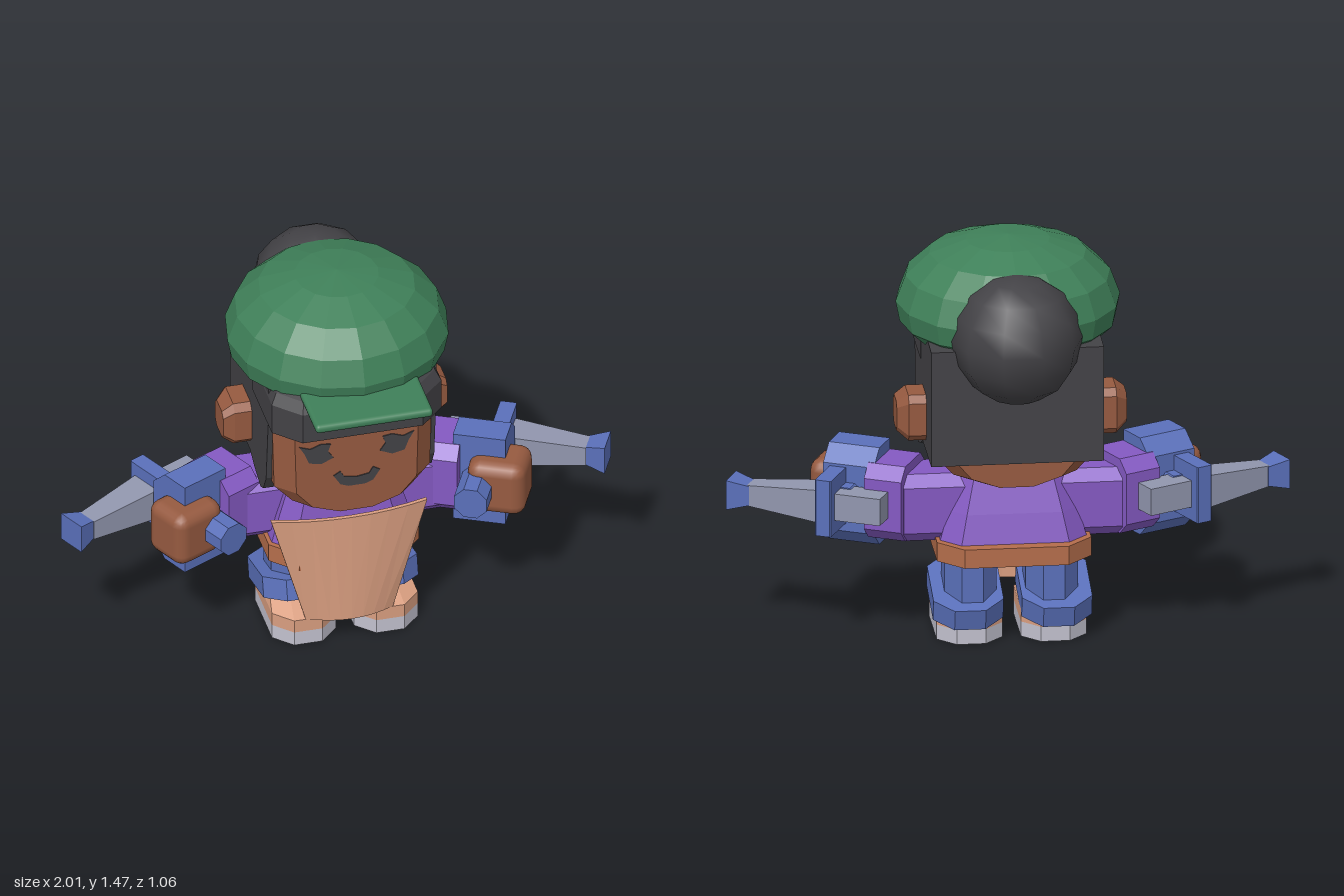
import * as THREE from 'three';
import { RoundedBoxGeometry } from 'three/addons/geometries/RoundedBoxGeometry.js';

const mat = (name, color) => Object.assign(new THREE.MeshStandardMaterial({ color }), { name });

// Facet a geometry so every face has its own normal
function flat(g) {
  const f = g.index ? g.toNonIndexed() : g;
  f.computeVertexNormals();
  return f;
}

// Stack of chamfered rectangles: each ring is [y, halfWidth, zFront, zBack, frontChamfer, backChamfer]
function loft(rings) {
  const pos = [], idx = [];
  for (const [y, w, f, b, c, k = c] of rings) {
    const ring = [[w, f - c], [w - c, f], [c - w, f], [-w, f - c], [-w, b + k], [k - w, b], [w - k, b], [w, b + k]];
    for (const [x, z] of ring) pos.push(x, y, z);
  }
  const last = (rings.length - 1) * 8;
  for (let r = 0; r < last; r += 8) {
    for (let i = 0; i < 8; i++) {
      const j = (i + 1) % 8;
      idx.push(r + i, r + 8 + i, r + 8 + j, r + i, r + 8 + j, r + j);
    }
  }
  for (let i = 1; i < 7; i++) idx.push(0, i, i + 1, last, last + i + 1, last + i);
  const g = new THREE.BufferGeometry();
  g.setAttribute('position', new THREE.Float32BufferAttribute(pos, 3));
  g.setIndex(idx);
  return flat(g);
}

const outline = pts => new THREE.Shape(pts.map(p => new THREE.Vector2(...p)));

// Side profile of [z, y] points, extruded across x and centred on it
function sideProfile(pts, width) {
  const g = new THREE.ExtrudeGeometry(outline(pts), { depth: width, bevelEnabled: false });
  return g.translate(0, 0, -width / 2).rotateY(-Math.PI / 2);
}

export function createModel() {
  const green = mat('cap green', 0x3f8059);
  const dark = mat('hair charcoal', 0x434246);
  const skin = mat('skin brown', 0x965a40);
  const leather = mat('belt leather', 0xb46d4b);
  const tan = mat('apron tan', 0xd99e80);
  const purple = mat('shirt purple', 0x8459c2);
  const blue = mat('blue', 0x5a70ba);
  const steel = mat('steel', 0x9196ae);
  const pale = mat('sole pale', 0xc2c1ce);

  const model = new THREE.Group();
  const add = (name, geo, material, x = 0, y = 0, z = 0, parent = model) => {
    const m = new THREE.Mesh(geo, material);
    m.name = name;
    m.position.set(x, y, z);
    parent.add(m);
    return m;
  };

  // Head and hair
  add('head', loft([
    [0.625, 0.11, 0.28, -0.3, 0.05],
    [0.66, 0.22, 0.28, -0.3, 0.06],
    [0.73, 0.285, 0.28, -0.3, 0.065],
    [1.12, 0.295, 0.28, -0.3, 0.065]]), skin);
  add('hair', sideProfile([
    [0.22, 1.02], [0.22, 1.17], [-0.32, 1.15], [-0.32, 0.72], [-0.04, 0.72],
    [0.02, 0.69], [0.11, 0.66], [0.15, 0.68], [0.19, 0.75]], 0.615), dark);
  add('fringe', loft([
    [1.01, 0.31, 0.37, 0, 0.09, 0.01],
    [1.13, 0.31, 0.37, 0, 0.09, 0.01],
    [1.17, 0.29, 0.345, 0, 0.08, 0.01],
    [1.2, 0.24, 0.28, 0, 0.06, 0.01]]), dark);
  add('hairBun', new THREE.SphereGeometry(0.235, 10, 8), dark, 0, 1.185, -0.3);

  // Cap
  const capProfile = [[0, 1.04], [0.2, 1.05], [0.32, 1.1], [0.385, 1.16], [0.4, 1.235],
    [0.365, 1.33], [0.28, 1.41], [0.15, 1.457], [0, 1.473]].map(p => new THREE.Vector2(...p));
  add('cap', flat(new THREE.LatheGeometry(capProfile, 16)), green);
  add('capBrim', new RoundedBoxGeometry(0.43, 0.034, 0.36, 2, 0.015), green, 0, 1.178, 0.36);

  // Face details
  const eye = [[0.21, 0.93], [0.17, 0.915], [0.13, 0.93], [0.095, 0.925], [0.105, 0.895],
    [0.085, 0.865], [0.13, 0.845], [0.175, 0.855], [0.19, 0.895]];
  const plate = pts => new THREE.ExtrudeGeometry(outline(pts), { depth: 0.006, bevelEnabled: false });
  for (const s of [1, -1]) {
    add(s > 0 ? 'leftEye' : 'rightEye', plate(eye.map(([x, y]) => [x * s, y])), dark, 0, 0, 0.278);
    // Ear
    const ear = add(s > 0 ? 'leftEar' : 'rightEar', loft([
      [0, 0.085, 0.08, -0.08, 0.025],
      [0.07, 0.085, 0.08, -0.08, 0.025],
      [0.11, 0.055, 0.07, -0.045, 0.02]]), skin, s * 0.3, 0.845, -0.09);
    ear.rotation.z = -s * Math.PI / 2;
  }
  add('mouth', plate([
    [-0.085, 0.785], [-0.06, 0.8], [-0.045, 0.775], [0, 0.768], [0.045, 0.775], [0.06, 0.8],
    [0.085, 0.785], [0.06, 0.745], [0.03, 0.733], [-0.03, 0.733], [-0.06, 0.745]]), dark, 0, 0, 0.278);

  // Body
  add('shirt', loft([
    [0.38, 0.265, 0.16, -0.26, 0.07],
    [0.5, 0.23, 0.14, -0.23, 0.06],
    [0.63, 0.19, 0.12, -0.19, 0.05]]), purple);
  add('neck', new THREE.CylinderGeometry(0.1, 0.1, 0.1, 8), skin, 0, 0.61, -0.02);
  add('collarOpening', plate([[-0.1, 0.63], [0, 0.54], [0.1, 0.63]]), skin, 0, 0, 0.142);
  add('belt', loft([[0.325, 0.275, 0.19, -0.3, 0.09], [0.395, 0.275, 0.19, -0.3, 0.09]]), leather);

  // Apron: a slab tapered downwards and curved around the body
  const apron = new THREE.BoxGeometry(2, 1, 0.016, 8, 1, 1);
  const ap = apron.attributes.position;
  for (let i = 0; i < ap.count; i++) {
    const u = ap.getX(i), v = ap.getY(i) + 0.5;
    ap.setXYZ(i, u * (0.16 + 0.125 * v), 0.105 + 0.44 * v, ap.getZ(i) + 0.21 - 0.04 * u * u);
  }
  add('apron', flat(apron), tan);

  for (const s of [1, -1]) {
    const side = s > 0 ? 'left' : 'right';

    // Leg with tilted ankle band, and shoe
    const leg = new THREE.CylinderGeometry(0.14, 0.14, 0.25, 8).rotateY(Math.PI / 8).scale(0.72, 1, 1);
    add(side + 'Leg', flat(leg), blue, s * 0.145, 0.22, -0.06);
    const band = add(side + 'AnkleBand', loft([
      [-0.04, 0.125, 0.18, -0.18, 0.07],
      [0.04, 0.125, 0.18, -0.18, 0.07]]), blue, s * 0.158, 0.15, -0.055);
    band.rotation.x = -0.26;
    band.rotation.order = 'XYZ';
    add(side + 'Sole', loft([
      [0, 0.117, 0.18, -0.19, 0.065],
      [0.055, 0.117, 0.18, -0.19, 0.065]]), pale, s * 0.15);
    add(side + 'Shoe', loft([
      [0.055, 0.117, 0.18, -0.19, 0.065],
      [0.105, 0.117, 0.18, -0.19, 0.065],
      [0.155, 0.1, 0.06, -0.19, 0.06]]), tan, s * 0.15);

    // Sleeve
    const sleeve = add(side + 'Sleeve', loft([
      [0, 0.125, 0.11, -0.12, 0.04],
      [0.27, 0.125, 0.11, -0.12, 0.04]]), purple, s * 0.12, 0.505, -0.06);
    sleeve.rotation.z = -s * Math.PI / 2;

    // Forearm, turned forwards; local +x runs along the arm
    const arm = new THREE.Group();
    arm.name = side + 'Forearm';
    arm.position.set(s * 0.575, 0.525, 0.085);
    arm.rotation.y = -s * 0.455;
    model.add(arm);
    const part = (name, geo, material, x, y, z) => add(side + name, geo, material, s * x, y, z, arm);

    const cuff = part('SleeveCuff', loft([
      [-0.07, 0.14, 0.125, -0.125, 0.045],
      [0.07, 0.14, 0.125, -0.125, 0.045]]), purple, -0.21, 0, -0.053);
    cuff.rotation.z = -s * Math.PI / 2;
    part('Hand', new RoundedBoxGeometry(0.21, 0.21, 0.19, 2, 0.045), skin, 0, 0, 0);
    part('HandGuard', sideProfile([
      [0.025, -0.182], [0.025, 0.182], [-0.085, 0.182], [-0.145, 0.125],
      [-0.145, -0.125], [-0.085, -0.182]], 0.19), blue, -0.07, 0, 0);

    // Side-handled baton
    const handle = new THREE.CylinderGeometry(0.064, 0.064, 0.38, 8).rotateY(Math.PI / 8).rotateX(Math.PI / 2);
    part('BatonHandle', flat(handle), blue, -0.07, 0, -0.01);
    const taper = (end, start, length) => flat(
      new THREE.CylinderGeometry(end * Math.SQRT2, start * Math.SQRT2, length, 4)
        .rotateY(Math.PI / 4).rotateZ(-s * Math.PI / 2));
    part('BatonRear', new THREE.BoxGeometry(0.2, 0.1, 0.1), steel, -0.13, 0.005, -0.212);
    part('BatonRing', loft([
      [-0.105, 0.03, 0.09, -0.09, 0.004],
      [0.105, 0.03, 0.09, -0.09, 0.004]]), blue, -0.03, 0.01, -0.212);
    part('BatonShaft', taper(0.038, 0.062, 0.29), steel, 0.13, 0.005, -0.215);
    part('BatonTip', taper(0.055, 0.036, 0.08), blue, 0.305, 0.005, -0.22);
  }
  return model;
}
